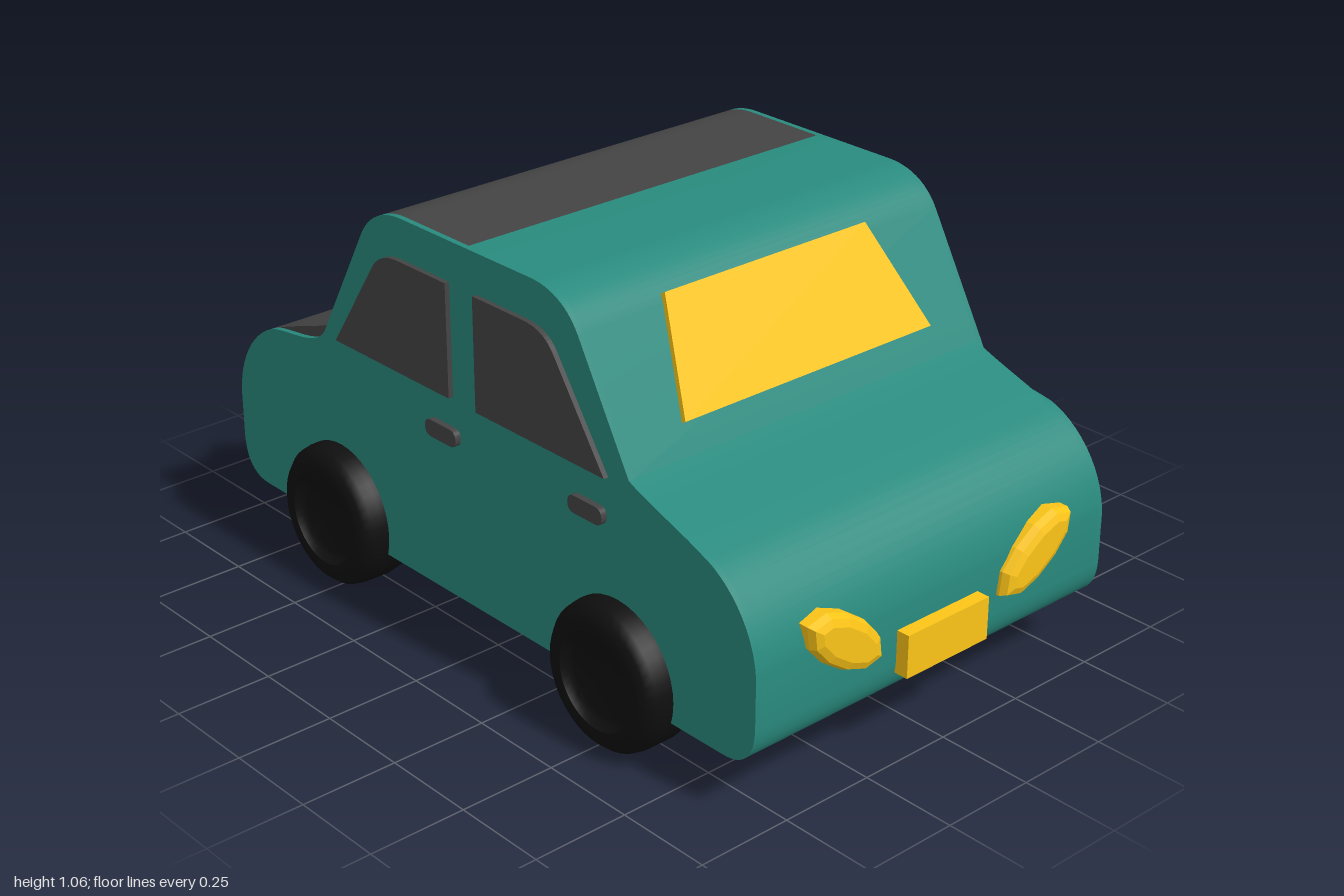
import * as THREE from 'three';
import { toCreasedNormals } from 'three/addons/utils/BufferGeometryUtils.js';

const mat = (color, flatShading = false) => new THREE.MeshStandardMaterial({ color, flatShading });
const V = (p) => new THREE.Vector2(p[0], p[1]);

// Points up one end of the car's side profile, from bottom centre to roof centre
function halfProfile(dipped) {
  const s = new THREE.Shape();
  s.moveTo(0, 0.135);
  s.lineTo(0.865, 0.135);
  s.quadraticCurveTo(0.962, 0.135, 0.965, 0.24);
  s.lineTo(0.965, 0.37);
  s.bezierCurveTo(0.955, 0.49, 0.87, 0.575, 0.79, 0.6);
  if (dipped) s.bezierCurveTo(0.7, 0.62, 0.59, 0.61, 0.56, 0.685);
  else s.bezierCurveTo(0.72, 0.63, 0.62, 0.655, 0.56, 0.685);
  s.lineTo(0.395, 0.975);
  s.bezierCurveTo(0.36, 1.035, 0.3, 1.06, 0.235, 1.06);
  s.lineTo(0, 1.06);
  return s.getPoints(12);
}

const mirrorX = (pts) => pts.map((p) => new THREE.Vector2(-p.x, p.y)).reverse();

function extrude(shape, z0, z1) {
  const g = new THREE.ExtrudeGeometry(shape, { depth: z1 - z0, bevelEnabled: false, curveSegments: 10 });
  return g.translate(0, 0, z0);
}

export function createModel() {
  const car = new THREE.Group();
  car.name = 'car';
  const teal = mat(0x298a7e), dark = mat(0x444444), yellow = mat(0xfcc518);
  const yellowFlat = mat(0xfcc518, true), red = mat(0xe0575e, true);
  const black = mat(0x0f0f0f), plum = mat(0x2c2026);

  const add = (name, geometry, material) => {
    const m = new THREE.Mesh(geometry, material);
    m.name = name;
    car.add(m);
    return m;
  };

  // Body shell in two halves
  const plain = halfProfile(false);
  add('frontBodyShell', toCreasedNormals(extrude(new THREE.Shape(plain), -0.552, 0.552), 0.4), teal);
  add('rearBodyShell', toCreasedNormals(extrude(new THREE.Shape(mirrorX(plain)), -0.552, 0.552), 0.4), dark);

  // Side panels, the same piece turned round, with a dip over one end
  const panel = new THREE.Shape([...plain, ...mirrorX(halfProfile(true))]);
  const panelGeo = toCreasedNormals(extrude(panel, 0.552, 0.567), 0.4);
  add('nearSidePanel', panelGeo, teal);
  add('farSidePanel', panelGeo, teal).rotation.y = Math.PI;

  // Side windows
  const windowShape = (inner, outer) => {
    const s = new THREE.Shape();
    s.moveTo(inner, 0.668);
    s.lineTo(outer, 0.668);
    s.lineTo(outer + (inner - outer) * 0.37, 0.91);
    s.quadraticCurveTo(outer + (inner - outer) * 0.44, 0.958, outer + (inner - outer) * 0.6, 0.958);
    s.lineTo(inner, 0.958);
    return s;
  };
  for (const [side, z0, z1] of [['near', 0.56, 0.58], ['far', -0.578, -0.56]]) {
    add(side + 'FrontWindow', extrude(windowShape(0.042, 0.492), z0, z1), dark);
    add(side + 'RearWindow', extrude(windowShape(-0.058, -0.505), z0, z1), dark);
  }

  // Door handles, on one side only
  for (const [name, x] of [['frontDoorHandle', 0.428], ['rearDoorHandle', -0.092]]) {
    const s = new THREE.Shape();
    s.moveTo(-0.035, -0.022);
    s.lineTo(0.035, -0.022);
    s.quadraticCurveTo(0.058, -0.022, 0.058, 0);
    s.quadraticCurveTo(0.058, 0.022, 0.035, 0.022);
    s.lineTo(-0.035, 0.022);
    s.quadraticCurveTo(-0.058, 0.022, -0.058, 0);
    s.quadraticCurveTo(-0.058, -0.022, -0.035, -0.022);
    add(name, extrude(s, 0.55, 0.583).translate(x, 0.568, 0), dark);
  }

  // Windscreens lying on the sloping pillars
  const screen = (name, dir, pts) => {
    const g = extrude(new THREE.Shape(pts.map(V)), -0.012, 0.013);
    g.rotateX(-0.517).rotateY((dir * Math.PI) / 2).translate(dir * 0.523, 0.75, 0);
    add(name, g, yellow);
  };
  screen('windscreen', 1, [[-0.378, 0], [0.413, 0], [0.322, 0.285], [-0.313, 0.285]]);
  screen('rearScreen', -1, [[-0.413, 0], [0.373, 0], [0.31, 0.285], [-0.328, 0.285]]);

  // Number plates
  add('frontPlate', new THREE.BoxGeometry(0.06, 0.11, 0.265).translate(0.97, 0.265, 0), yellow);
  add('rearPlate', new THREE.BoxGeometry(0.06, 0.11, 0.265).translate(-0.97, 0.36, -0.007), yellow);

  // Faceted lamps: tilted ovals with a bevelled rim
  const lamp = (name, dir, z, y, rx, ry, tilt, bevel, material) => {
    const pts = [];
    for (let i = 0; i < 10; i++) {
      const a = (i / 10) * Math.PI * 2;
      pts.push(new THREE.Vector2((rx - bevel) * Math.cos(a), (ry - bevel) * Math.sin(a)));
    }
    const g = new THREE.ExtrudeGeometry(new THREE.Shape(pts), {
      depth: 0.04, bevelSize: bevel, bevelThickness: bevel, bevelSegments: 2,
    });
    g.translate(0, 0, -0.04 - bevel).rotateZ(tilt).rotateY((dir * Math.PI) / 2);
    add(name, g.translate(dir * 0.998, y, z), material);
  };
  lamp('nearHeadlight', 1, 0.313, 0.367, 0.128, 0.062, -0.6, 0.025, yellowFlat);
  lamp('farHeadlight', 1, -0.311, 0.363, 0.128, 0.062, 0.6, 0.025, yellowFlat);
  lamp('nearTailLight', -1, 0.36, 0.393, 0.074, 0.06, 1.4, 0.012, red);
  lamp('farTailLight', -1, -0.335, 0.393, 0.074, 0.065, 1.7, 0.012, red);

  // Wheels: rounded tyre with a shallow dished hub on the outer face
  const tyre = [[0, 0], [0.135, 0], [0.165, 0.01], [0.181, 0.03], [0.186, 0.055], [0.186, 0.12],
    [0.181, 0.147], [0.165, 0.166], [0.14, 0.175], [0.122, 0.173], [0.112, 0.155], [0.1, 0.15], [0, 0.15]];
  const wheelGeo = toCreasedNormals(
    new THREE.LatheGeometry(tyre.map(V), 40).rotateX(Math.PI / 2).translate(0, 0, 0.463), 0.7);
  for (const [end, x] of [['front', 0.52], ['rear', -0.525]]) {
    for (const [side, s] of [['Near', 1], ['Far', -1]]) {
      const w = add(end + side + 'Wheel', wheelGeo, end === 'front' && s < 0 ? plum : black);
      w.position.set(x, 0.188, 0);
      if (s < 0) w.rotation.y = Math.PI;
    }
  }
  return car;
}
